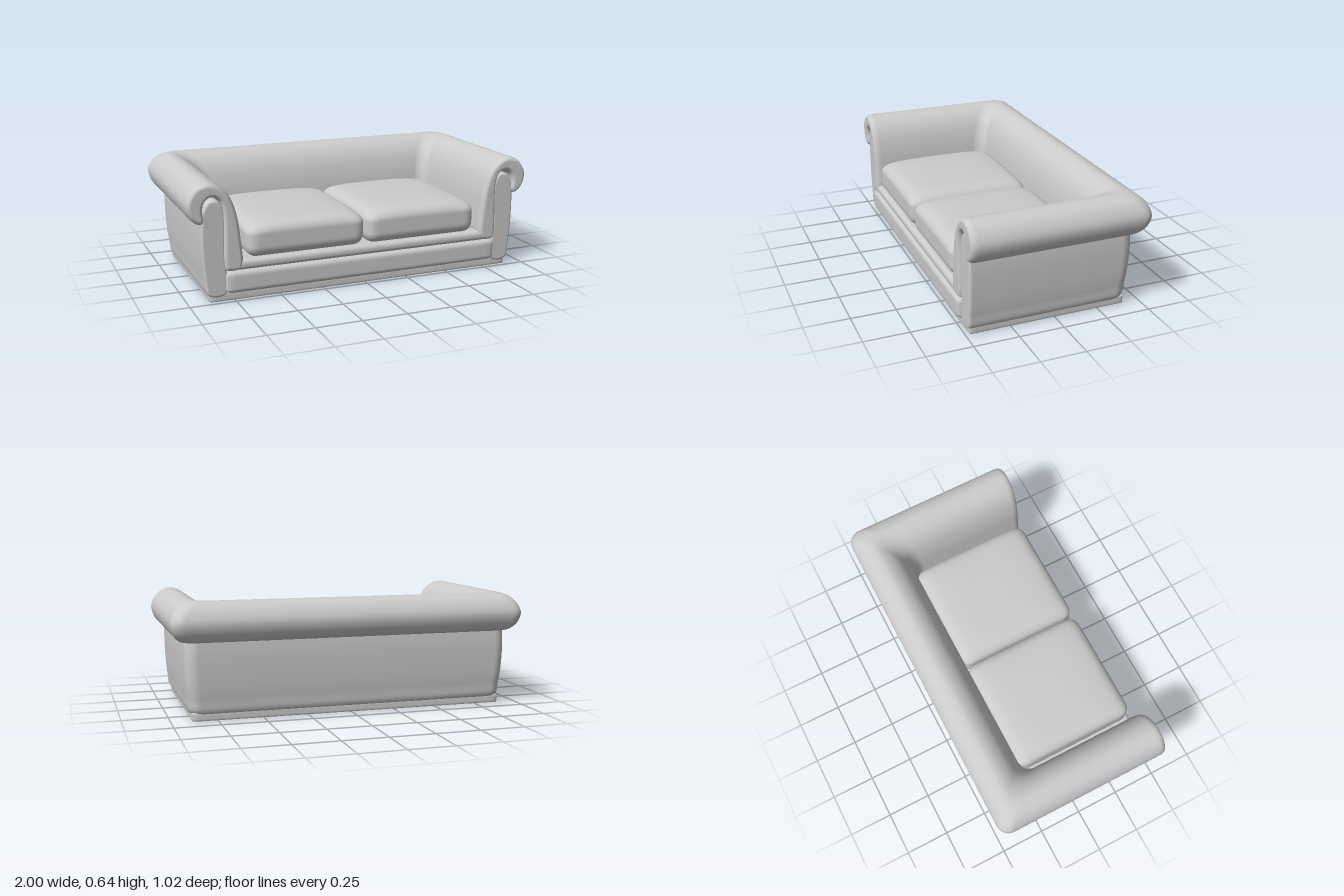
import * as THREE from 'three';
import { mergeVertices } from 'three/addons/utils/BufferGeometryUtils.js';

const material = new THREE.MeshStandardMaterial({ color: 0xcccccc });

function add(group, name, geometry, x = 0, y = 0, z = 0) {
  const mesh = new THREE.Mesh(geometry, material);
  mesh.name = name;
  mesh.position.set(x, y, z);
  group.add(mesh);
  return mesh;
}

// Box with rounded edges and an optional domed top
function softBox(w, h, d, r, crown = 0, seg = [24, 12, 24]) {
  let geo = new THREE.BoxGeometry(w, h, d, ...seg);
  geo.deleteAttribute('uv');
  geo.deleteAttribute('normal');
  geo = mergeVertices(geo);
  const pos = geo.attributes.position;
  const p = new THREE.Vector3(), core = new THREE.Vector3();
  const lim = new THREE.Vector3(w / 2 - r, h / 2 - r, d / 2 - r);
  for (let i = 0; i < pos.count; i++) {
    p.fromBufferAttribute(pos, i);
    core.copy(p).clamp(lim.clone().negate(), lim);
    p.sub(core);
    if (p.lengthSq() > 0) p.setLength(r);
    p.add(core);
    if (p.y > 0) p.y *= 1 - crown * ((2 * p.x / w) ** 4 + (2 * p.z / d) ** 4);
    pos.setXYZ(i, p.x, p.y, p.z);
  }
  geo.computeVertexNormals();
  return geo;
}

// Closed cross-section (inset from the outer edge, height) swept round arm, back and arm
const BACK = -0.51, CORNER = 0.07;
function sweepU(points, count, frontZ, inset, round) {
  const curve = new THREE.CatmullRomCurve3(
    points.map(([d, y]) => new THREE.Vector3(d, y, 0)), true, 'centripetal');
  const profile = [];
  for (let j = 0; j < count; j++) {
    const p = curve.getPointAt(j / count), t = curve.getTangentAt(j / count);
    profile.push({ d: p.x, y: p.y, nd: -t.y, ny: t.x });
  }
  // Half of the path: rounded front end, straight arm, corner, half the back
  const half = [];
  for (let k = 0; k <= 6; k++) {
    const a = (k / 6) * Math.PI / 2;
    const z = frontZ - round * (1 - Math.cos(a));
    half.push({ shrink: inset * (1 - Math.sin(a)), at: d => [1 - d, z] });
  }
  for (const z of [0.3, 0.1, -0.05]) half.push({ shrink: 0, at: d => [1 - d, z] });
  for (let k = 0; k <= 8; k++) {
    const a = (k / 8) * Math.PI / 2;
    half.push({
      shrink: 0,
      at: d => [1 - d - CORNER + CORNER * Math.cos(a), BACK + d + CORNER - CORNER * Math.sin(a)],
    });
  }
  for (const x of [0.4, 0.2]) half.push({ shrink: 0, at: d => [x, BACK + d] });
  const mirrored = half.map(r => ({ shrink: r.shrink, at: d => [-r.at(d)[0], r.at(d)[1]] })).reverse();
  const rings = [...half, ...mirrored];

  const pos = [], index = [];
  for (const ring of rings) {
    for (const q of profile) {
      const [x, z] = ring.at(q.d + q.nd * ring.shrink);
      pos.push(x, q.y + q.ny * ring.shrink, z);
    }
  }
  for (let i = 0; i < rings.length - 1; i++) {
    for (let j = 0; j < count; j++) {
      const a = i * count + j, b = i * count + (j + 1) % count;
      index.push(a, b, a + count, b, b + count, a + count);
    }
  }
  // Front caps of both arms
  const outline = profile.map(q => new THREE.Vector2(q.d + q.nd * inset, q.y + q.ny * inset));
  const last = (rings.length - 1) * count;
  for (const tri of THREE.ShapeUtils.triangulateShape(outline, [])) {
    const ccw = THREE.ShapeUtils.area(tri.map(i => outline[i])) > 0;
    const [a, b, c] = ccw ? tri : [tri[0], tri[2], tri[1]];
    index.push(a, c, b, last + a, last + b, last + c);
  }
  const geo = new THREE.BufferGeometry();
  geo.setAttribute('position', new THREE.Float32BufferAttribute(pos, 3));
  geo.setIndex(index);
  geo.computeVertexNormals();
  return geo;
}

export function createModel() {
  const sofa = new THREE.Group();
  sofa.name = 'sofa';

  // Padded inner face that rolls over the top and curls down outside
  add(sofa, 'rolledArmsAndBack', sweepU([
    [0.2, 0.17], [0.28, 0.168], [0.295, 0.2], [0.287, 0.33], [0.27, 0.46], [0.235, 0.56],
    [0.18, 0.622], [0.115, 0.645], [0.05, 0.622], [0.012, 0.575], [0, 0.53], [0.018, 0.468],
    [0.055, 0.432], [0.083, 0.43], [0.095, 0.455], [0.088, 0.5], [0.1, 0.545], [0.135, 0.567],
    [0.17, 0.55], [0.188, 0.5], [0.19, 0.2],
  ], 130, 0.505, 0.022, 0.04), 0, 0, 0);

  // Outer panels of the arms and back
  add(sofa, 'outerPanels', sweepU([
    [0.2, 0.04], [0.2, 0.25], [0.198, 0.5], [0.165, 0.548], [0.12, 0.545], [0.088, 0.5],
    [0.076, 0.4], [0.077, 0.25], [0.088, 0.12], [0.105, 0.04],
  ], 90, 0.49, 0.014, 0.016));

  // Base, seat deck and front rails
  add(sofa, 'basePlinth', softBox(1.78, 0.05, 0.885, 0.01, 0, [60, 8, 60]), 0, 0.025, 0.038);
  add(sofa, 'seatDeck', softBox(1.5, 0.16, 0.72, 0.02), 0, 0.125, 0.12);
  add(sofa, 'lowerFrontRail', softBox(1.605, 0.12, 0.1, 0.026, 0, [60, 16, 12]), 0, 0.105, 0.461);
  add(sofa, 'upperFrontRail', softBox(1.5, 0.056, 0.1, 0.024, 0, [60, 12, 16]), 0, 0.193, 0.452);

  // Two domed seat cushions
  for (const side of [1, -1]) {
    add(sofa, side > 0 ? 'leftSeatCushion' : 'rightSeatCushion',
      softBox(0.675, 0.205, 0.725, 0.06, 0.24, [36, 18, 36]), side * 0.342, 0.318, 0.13);
  }
  return sofa;
}
